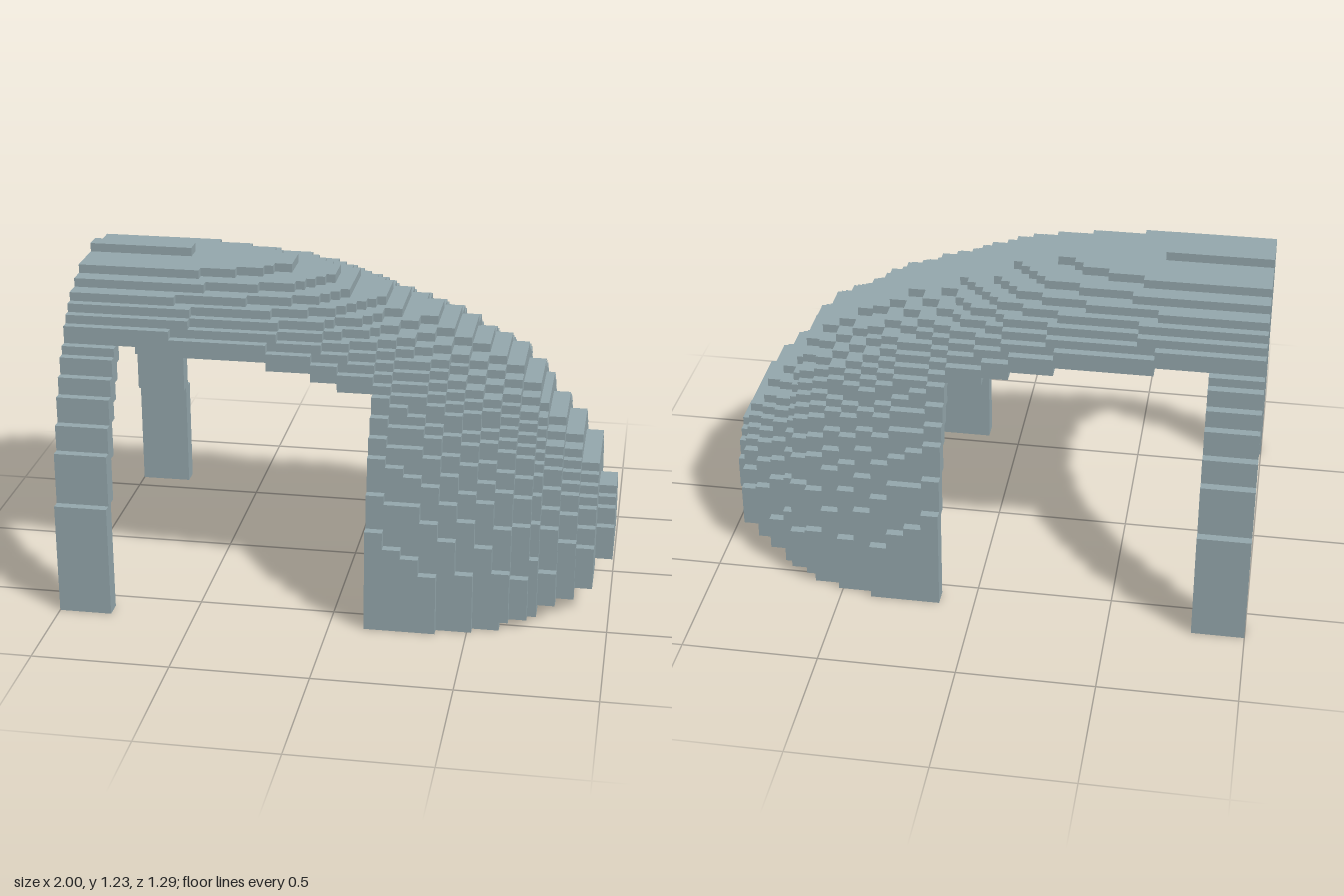
import * as THREE from 'three';

const NX = 62, NY = 38, NZ = 40, S = 2 / NX; // cell grid
const WALL = 0.065;                          // shell thickness
const OPEN_FROM = 6, OPEN_TO = 35;           // slices with side openings

// Stations along the length: x, crown height, half width at the ground
const STATIONS = [
  [-1, 1.2105, 0.6565], [-0.81, 1.2103, 0.6565], [-0.615, 1.21, 0.654], [-0.23, 1.178, 0.642],
  [-0.07, 1.146, 0.635], [0, 1.116, 0.631], [0.13, 1.083, 0.626], [0.19, 1.053, 0.622],
  [0.32, 1.018, 0.61], [0.39, 0.986, 0.602], [0.45, 0.954, 0.588], [0.51, 0.922, 0.57],
  [0.58, 0.89, 0.555], [0.64, 0.86, 0.539], [0.7, 0.797, 0.505], [0.74, 0.73, 0.475],
  [0.8, 0.668, 0.44], [0.87, 0.602, 0.39], [0.93, 0.512, 0.366], [0.935, 0.382, 0.179],
  [1, 0.38, 0.179],
];

function station(x) {
  let n = 1;
  while (n < STATIONS.length - 1 && STATIONS[n][0] < x) n++;
  const a = STATIONS[n - 1], b = STATIONS[n];
  const t = THREE.MathUtils.clamp((x - a[0]) / (b[0] - a[0]), 0, 1);
  return a.map((v, m) => v + (b[m] - v) * t);
}

// The closed end steps two cells at a time
function snap(i) {
  if (i >= 54) return i | 1;
  return i >= OPEN_TO && i < 53 ? i + (i & 1) : i;
}
const SLICES = Array.from({ length: NX }, (_, i) => station((snap(i) + 0.5) * S - 1));

// Is a cell within the dome, shrunk by inset? Slices are slightly squared half ellipses
function inside(i, j, zCell, inset) {
  if (i >= NX) return false;
  const [, top, width] = SLICES[i];
  return (zCell * S / (width - inset)) ** 2.3 + ((j + 0.5) * S / (top - inset)) ** 2.3 <= 1;
}

function isShell(i, j, k) {
  const zCell = Math.abs(k + 0.5 - NZ / 2);
  if (!inside(i, j, zCell, 0)) return false;
  const x = (i + 0.5) * S - 1, y = (j + 0.5) * S;
  const rim = 0.05 + 0.2 * (x - 0.74) - 0.08 * (zCell * S - 0.45);
  if (i >= OPEN_TO && y < rim) return false; // rim rises toward the nose
  const open = i >= OPEN_FROM && i < OPEN_TO;
  if (open && zCell > 13) return false; // side openings
  const zInner = open ? Math.min(zCell, 11.5) : zCell; // roof edge trimmed level
  return !(inside(i, j, zInner, WALL) && inside(i + 2, j, zInner, 0));
}

const cells = new Uint8Array(NX * NY * NZ);
const at = (i, j, k) => (i * NY + j) * NZ + k;
function filled(i, j, k) {
  return i >= 0 && j >= 0 && k >= 0 && i < NX && j < NY && k < NZ && cells[at(i, j, k)] === 1;
}

// Exposed cell faces for slices from..to
function blockGeometry(from, to) {
  const pos = [];
  const corners = [[0, 0], [1, 0], [1, 1], [0, 0], [1, 1], [0, 1]];
  for (let i = from; i < to; i++) for (let j = 0; j < NY; j++) for (let k = 0; k < NZ; k++) {
    if (!filled(i, j, k)) continue;
    for (let axis = 0; axis < 3; axis++) for (const dir of [1, -1]) {
      const next = [i, j, k];
      next[axis] += dir;
      if (filled(...next)) continue;
      for (const [u, v] of corners) {
        const p = [i, j, k];
        p[axis] += dir > 0 ? 1 : 0;
        p[(axis + 1) % 3] += dir > 0 ? u : v;
        p[(axis + 2) % 3] += dir > 0 ? v : u;
        pos.push(p[0] * S - 1, p[1] * S, (p[2] - NZ / 2) * S);
      }
    }
  }
  const geometry = new THREE.BufferGeometry();
  geometry.setAttribute('position', new THREE.Float32BufferAttribute(pos, 3));
  geometry.computeVertexNormals();
  return geometry;
}

export function createModel() {
  const group = new THREE.Group();
  group.name = 'steppedShell';
  const stone = new THREE.MeshStandardMaterial({ color: 0x94a7ac });
  stone.name = 'blueGreyStone';

  for (let i = 0; i < NX; i++) for (let j = 0; j < NY; j++) for (let k = 0; k < NZ; k++) {
    cells[at(i, j, k)] = isShell(i, j, k) ? 1 : 0;
  }

  // End arch with two legs, roof between the openings, closed rounded end
  const parts = [['endArch', 0, OPEN_FROM], ['roofBridge', OPEN_FROM, OPEN_TO], ['domedNose', OPEN_TO, NX]];
  for (const [name, from, to] of parts) {
    const mesh = new THREE.Mesh(blockGeometry(from, to), stone);
    mesh.name = name;
    group.add(mesh);
  }
  return group;
}
